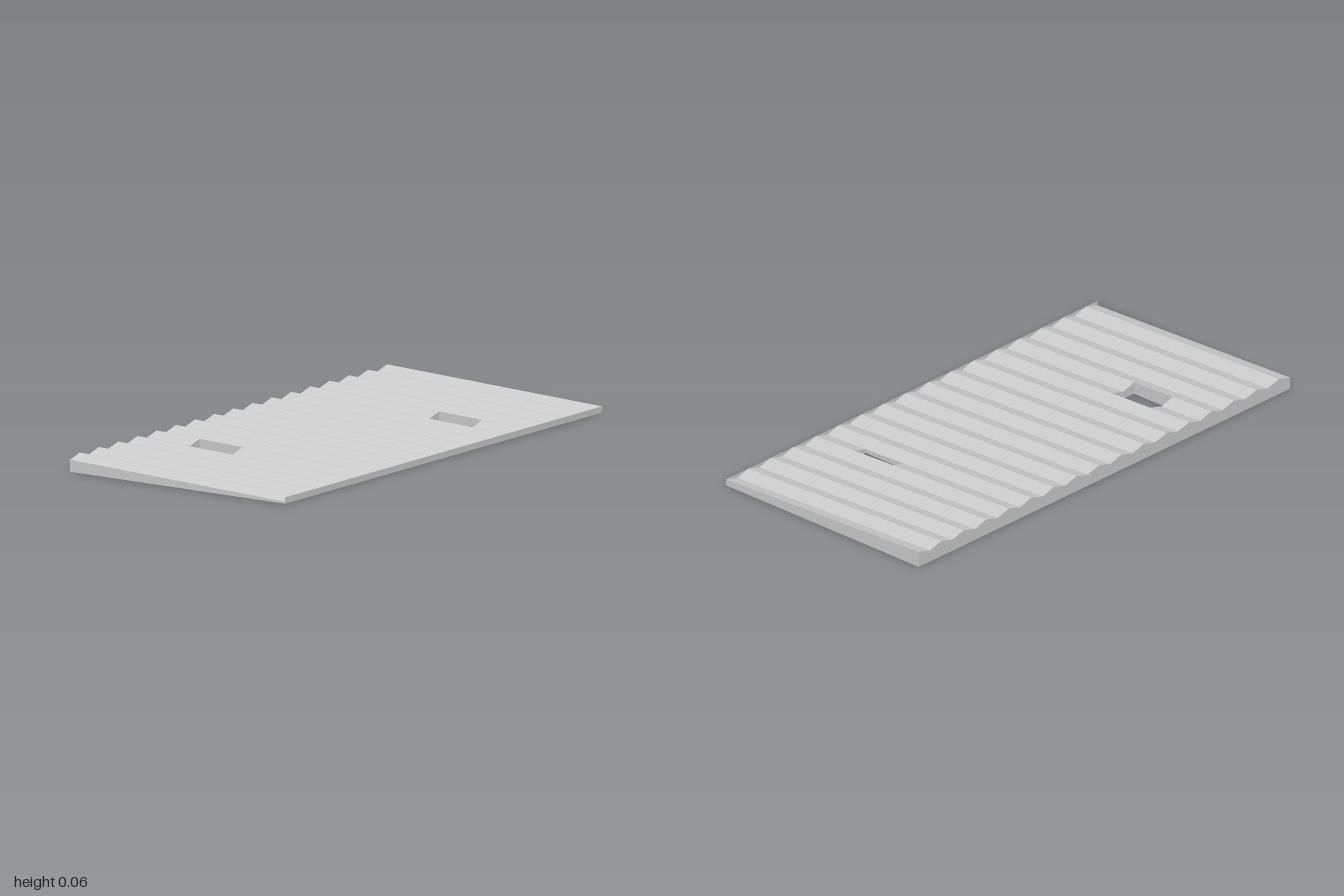
import * as THREE from 'three';

const COLS = 33, ROWS = 5;          // roof cells across and deep
const DEPTH = 0.976;
const FRONT = 0.024, BACK = 0.062;  // ridge height at each end
const GROOVE = 0.0165;              // valley depth below the ridges

const xAt = (i) => -1 + (2 * i) / COLS;
const zAt = (j) => -DEPTH / 2 + (DEPTH * j) / ROWS;
const topAt = (i, j) => BACK + ((FRONT - BACK) * j) / ROWS - (i % 2 ? 0 : GROOVE);
const top = (i, j) => [xAt(i), topAt(i, j), zAt(j)];
const base = (i, j) => [xAt(i), 0, zAt(j)];

// Cells left open: one wide opening at the back, one narrow at the front
const isOpen = (i, j) => (j === 1 && (i === 7 || i === 8)) || (j === 3 && i === 24);
const inside = (i, j) => i >= 0 && i < COLS && j >= 0 && j < ROWS;
const solid = (i, j) => inside(i, j) && !isOpen(i, j);

// Mesh made of flat quads, corners counter-clockwise
function quadMesh(name, quads) {
  const pos = [];
  for (const [a, b, c, d] of quads) pos.push(...a, ...b, ...c, ...a, ...c, ...d);
  const geo = new THREE.BufferGeometry();
  geo.setAttribute('position', new THREE.Float32BufferAttribute(pos, 3));
  geo.computeVertexNormals();
  const mat = new THREE.MeshStandardMaterial({
    color: 0xcccccc, flatShading: true, side: THREE.DoubleSide,
  });
  const mesh = new THREE.Mesh(geo, mat);
  mesh.name = name;
  return mesh;
}

export function createModel() {
  const sheet = [], underside = [], walls = [], openings = [];

  for (let i = 0; i < COLS; i++) {
    for (let j = 0; j < ROWS; j++) {
      if (!solid(i, j)) continue;
      sheet.push([top(i, j), top(i, j + 1), top(i + 1, j + 1), top(i + 1, j)]);
      underside.push([base(i, j), base(i + 1, j), base(i + 1, j + 1), base(i, j + 1)]);

      // Upright faces wherever the neighbouring cell is missing
      const sides = [
        [0, 1, [i, j + 1], [i + 1, j + 1]],
        [1, 0, [i + 1, j + 1], [i + 1, j]],
        [0, -1, [i + 1, j], [i, j]],
        [-1, 0, [i, j], [i, j + 1]],
      ];
      for (const [di, dj, p, q] of sides) {
        if (solid(i + di, j + dj) || j + dj === ROWS) continue;
        const list = inside(i + di, j + dj) ? openings : walls;
        list.push([base(...p), base(...q), top(...q), top(...p)]);
      }
    }
  }

  // Straight front lip closing the groove ends
  const z = DEPTH / 2;
  const lip = [[[-1, 0, z], [1, 0, z], [1, FRONT, z], [-1, FRONT, z]]];

  const group = new THREE.Group();
  group.name = 'corrugatedRoof';
  group.add(
    quadMesh('corrugatedSheet', sheet),
    quadMesh('underside', underside),
    quadMesh('outerWalls', walls),
    quadMesh('openingWalls', openings),
    quadMesh('frontLip', lip),
  );
  return group;
}
